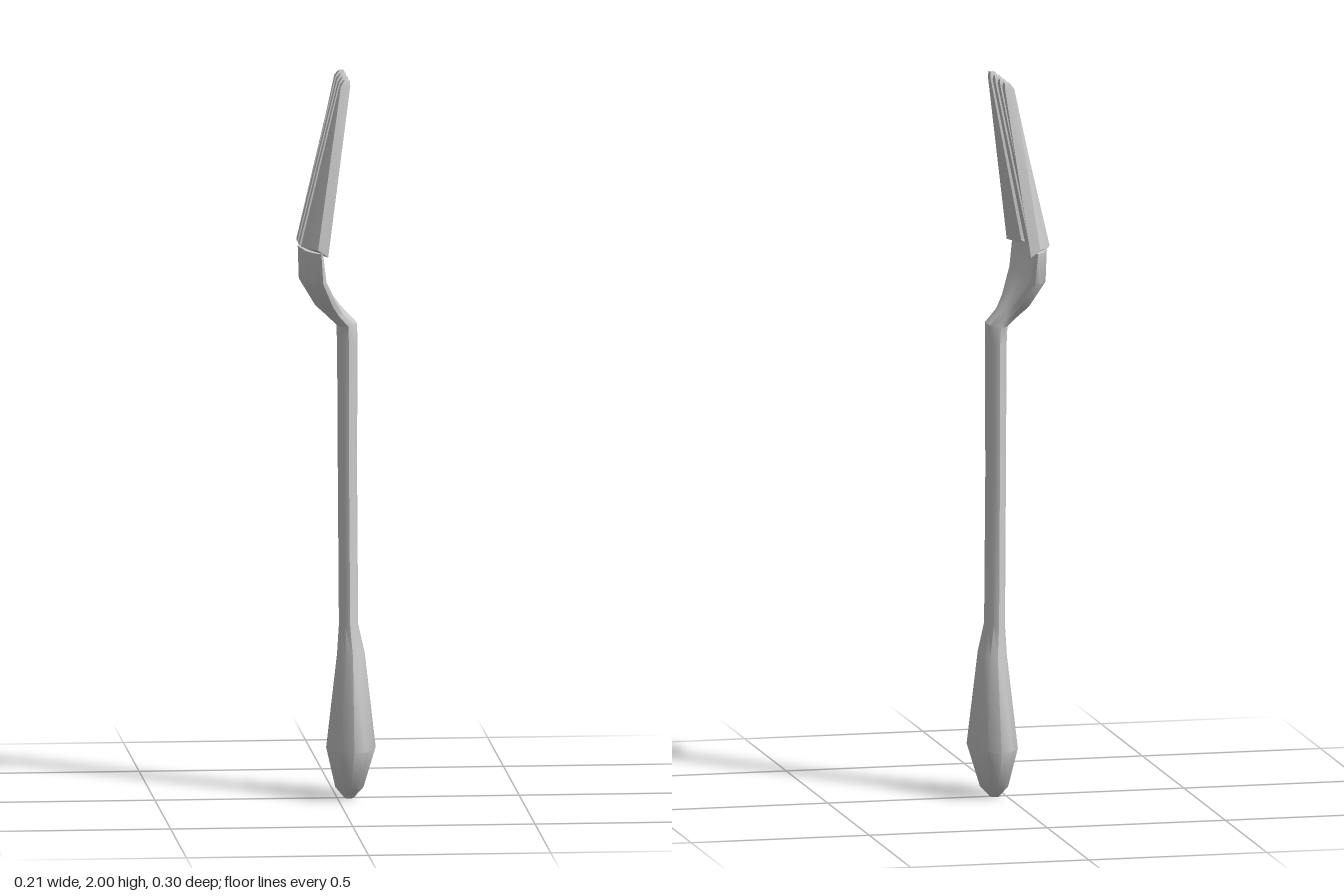
import * as THREE from 'three';
import { toCreasedNormals } from 'three/addons/utils/BufferGeometryUtils.js';

const material = new THREE.MeshStandardMaterial({ color: 0xcccccc });

// Skin a stack of rings (bottom to top, each running from +x towards +z) and cap both ends
function loft(name, rings, crease) {
  const n = rings[0].length;
  const points = rings.flat();
  const index = [];
  for (let r = 0; r < rings.length - 1; r++) {
    for (let i = 0; i < n; i++) {
      const a = r * n + i, b = r * n + (i + 1) % n;
      index.push(a, a + n, b + n, a, b + n, b);
    }
  }
  const cap = (ring, start, top) => {
    const centre = new THREE.Vector3();
    ring.forEach((p) => centre.addScaledVector(p, 1 / n));
    const c = points.push(centre) - 1;
    for (let i = 0; i < n; i++) {
      const a = start + i, b = start + (i + 1) % n;
      index.push(c, top ? b : a, top ? a : b);
    }
  };
  cap(rings[0], 0, false);
  cap(rings[rings.length - 1], (rings.length - 1) * n, true);
  const geometry = new THREE.BufferGeometry().setFromPoints(points);
  geometry.setIndex(index);
  const mesh = new THREE.Mesh(toCreasedNormals(geometry, crease), material);
  mesh.name = name;
  return mesh;
}

// Cross-section spanning back point (ax, ay) to front point (bx, by), half width hz;
// a lower power squares it off and bend curls its sides forward
function section([ax, ay, bx, by, hz, power = 1, bend = 0], sides = 12) {
  const ring = [];
  const shape = (v) => Math.sign(v) * Math.abs(v) ** power;
  for (let i = 0; i < sides; i++) {
    const t = (i / sides) * Math.PI * 2;
    const u = shape(Math.cos(t)), w = shape(Math.sin(t));
    ring.push(new THREE.Vector3(
      (ax + bx) / 2 + (bx - ax) / 2 * u + bend * w * w,
      (ay + by) / 2 + (by - ay) / 2 * u,
      hz * w));
  }
  return ring;
}

// Curved back and front faces of the head where the tines begin
const backX = (z) => -0.108 + 90 * z ** 4;
const frontX = (z) => -0.07 + 1.5 * z * z;

function tine(z0, z1, tipZ) {
  const zs = [z0, (z0 + z1) / 2, z1];
  const base = [
    ...zs.map((z) => new THREE.Vector3(frontX(z), 1.52, z)),
    ...zs.slice().reverse().map((z) => new THREE.Vector3(backX(z), 1.54, z)),
  ];
  const tipRing = (y, x, hx, hz) => [
    [1, -1], [1, 0], [1, 1], [-1, 1], [-1, 0], [-1, -1],
  ].map(([u, w]) => new THREE.Vector3(x + u * hx, y, tipZ + w * hz));
  return loft('tine', [base, tipRing(1.985, 0.015, 0.013, 0.016), tipRing(2, 0.02, 0.007, 0.009)], 0.6);
}

export function createModel() {
  const group = new THREE.Group();
  group.name = 'fork';

  // Faceted butt, flared grip and slender stem
  const handle = [
    [0.02, 0, 0.045, 0, 0.018],
    [-0.005, 0.03, 0.073, 0.03, 0.058],
    [-0.03, 0.14, 0.106, 0.14, 0.113],
    [0, 0.4, 0.076, 0.4, 0.067],
    [0.005, 0.48, 0.058, 0.48, 0.055],
    [0.002, 0.9, 0.055, 0.9, 0.052],
    [0, 1.26, 0.056, 1.26, 0.052],
    [-0.002, 1.31, 0.055, 1.315, 0.056],
  ];
  // Neck stepping back into the curved head
  const head = [
    [-0.025, 1.333, 0.02, 1.352, 0.064, 0.9, 0.003],
    [-0.06, 1.365, -0.01, 1.385, 0.09, 0.8, 0.015],
    [-0.105, 1.44, -0.055, 1.45, 0.142, 0.7, 0.03],
    [-0.108, 1.53, -0.07, 1.53, 0.15, 0.7, 0.033],
  ];
  group.add(loft('handleAndHead', [...handle, ...head].map((s) => section(s)), 0.65));

  // Four tapering tines
  const tines = new THREE.Group();
  tines.name = 'tines';
  tines.add(
    tine(-0.15, -0.074, -0.095),
    tine(-0.05, -0.012, -0.038),
    tine(0.012, 0.048, 0.021),
    tine(0.073, 0.148, 0.08));
  group.add(tines);
  return group;
}
